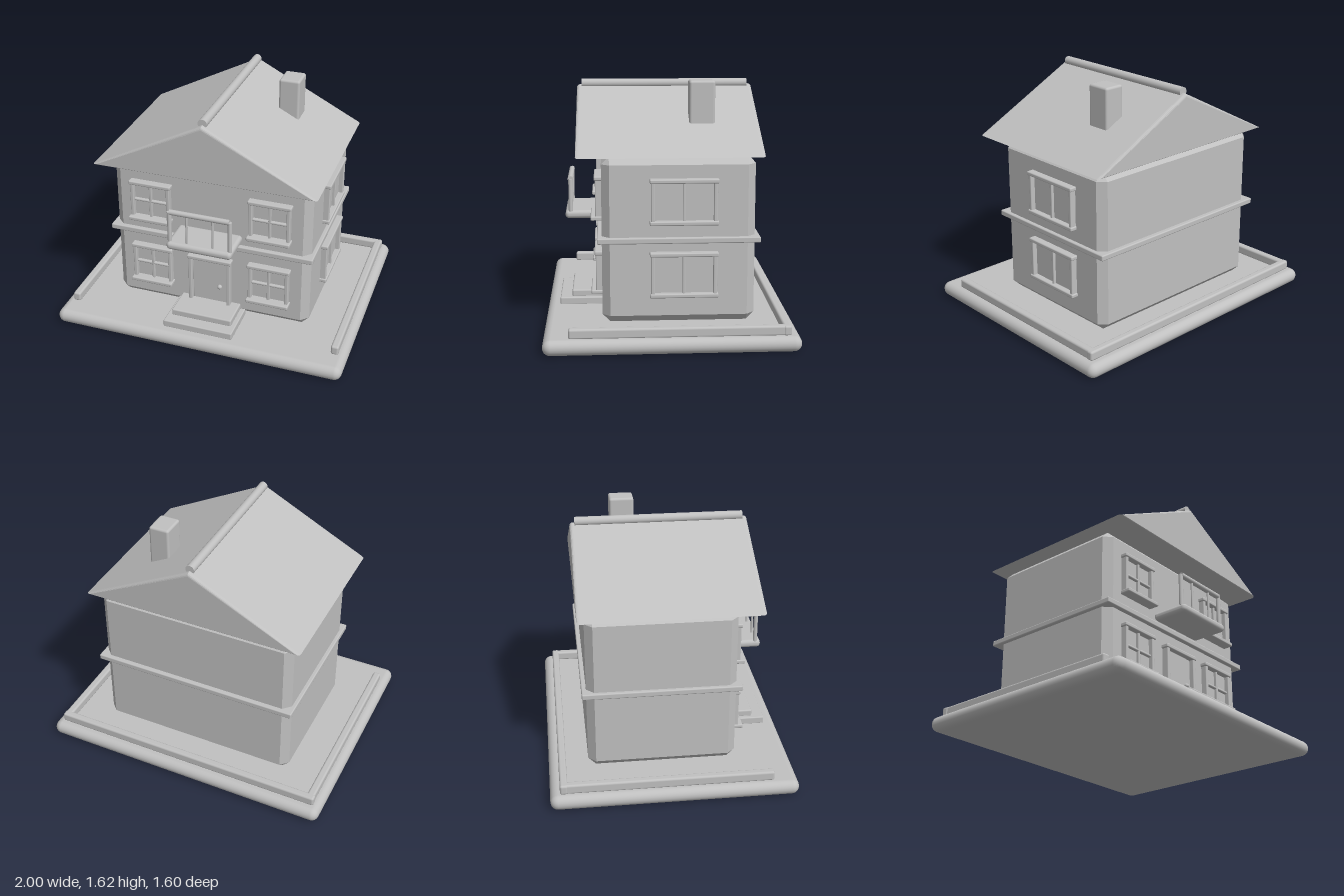
import * as THREE from 'three';
import { RoundedBoxGeometry } from 'three/addons/geometries/RoundedBoxGeometry.js';
import { ConvexGeometry } from 'three/addons/geometries/ConvexGeometry.js';

const plaster = new THREE.MeshStandardMaterial({ color: 0xc0c0c0 });
plaster.name = 'plain grey';

function add(parent, name, geometry, x = 0, y = 0, z = 0) {
  const mesh = new THREE.Mesh(geometry, plaster);
  mesh.name = name;
  mesh.position.set(x, y, z);
  parent.add(mesh);
  return mesh;
}

// Soft-edged block given by its limits on each axis
function block(parent, name, [x0, x1], [y0, y1], [z0, z1], radius = 0.006) {
  const geometry = new RoundedBoxGeometry(x1 - x0, y1 - y0, z1 - z0, 3, radius);
  return add(parent, name, geometry, (x0 + x1) / 2, (y0 + y1) / 2, (z0 + z1) / 2);
}

// Round bar standing along y, or lying along x or z
function bar(parent, name, radius, length, x, y, z, axis = 'y') {
  const mesh = add(parent, name, new THREE.CylinderGeometry(radius, radius, length, 20), x, y, z);
  if (axis === 'x') mesh.rotation.z = Math.PI / 2;
  if (axis === 'z') mesh.rotation.x = Math.PI / 2;
  return mesh;
}

// Box with every edge cut by one flat chamfer
function chamferedBox(hx, hy, hz, c) {
  const points = [];
  for (const sx of [-1, 1]) for (const sy of [-1, 1]) for (const sz of [-1, 1]) {
    points.push(
      new THREE.Vector3(sx * hx, sy * (hy - c), sz * (hz - c)),
      new THREE.Vector3(sx * (hx - c), sy * hy, sz * (hz - c)),
      new THREE.Vector3(sx * (hx - c), sy * (hy - c), sz * hz));
  }
  return new ConvexGeometry(points);
}

// Window standing on a wall: local z = 0 is the wall, y = 0 the underside of the sill
function makeWindow(name, width, height, crossBar) {
  const win = new THREE.Group();
  win.name = name;
  const w = width / 2;
  block(win, 'windowPane', [-w + 0.01, w - 0.01], [0.02, height - 0.02], [-0.01, 0.009], 0.002);
  for (const s of [-1, 1]) {
    const x = s * (w - 0.02);
    block(win, 'windowJamb', [x - 0.012, x + 0.012], [0.02, height - 0.015], [-0.01, 0.04]);
  }
  block(win, 'windowLintel', [-w, w], [height - 0.027, height], [-0.01, 0.047], 0.008);
  block(win, 'windowSill', [-w, w], [0, 0.027], [-0.01, crossBar ? 0.07 : 0.047], 0.008);
  block(win, 'windowMullion', [-0.009, 0.009], [0.02, height - 0.02], [0, 0.028], 0.004);
  if (crossBar) {
    block(win, 'windowCrossBar', [-w + 0.028, w - 0.028],
      [height / 2 - 0.009, height / 2 + 0.009], [0, 0.028], 0.008);
  }
  return win;
}

export function createModel() {
  const house = new THREE.Group();
  house.name = 'house';

  // Ground slab and low border on three sides
  block(house, 'groundSlab', [-1, 1], [0, 0.1], [-0.8, 0.8], 0.0499);
  for (const s of [-1, 1]) {
    block(house, 'sideBorder', [s * 0.92 - 0.026, s * 0.92 + 0.026], [0.095, 0.16], [-0.735, 0.64], 0.014);
  }
  block(house, 'backBorder', [-0.95, 0.95], [0.095, 0.16], [-0.737, -0.687], 0.014);

  // Walls and the band between the floors
  add(house, 'walls', chamferedBox(0.68, 0.535, 0.485, 0.05), 0, 0.64, -0.055);
  block(house, 'floorBand', [-0.705, 0.705], [0.628, 0.666], [-0.57, 0.46], 0.008);

  // Gabled roof with softened gable edges
  const gable = new THREE.Shape();
  gable.moveTo(-0.72, 1.185).lineTo(0.72, 1.185).lineTo(0, 1.542).closePath();
  add(house, 'roof', new THREE.ExtrudeGeometry(gable, {
    depth: 1.13, bevelEnabled: true, bevelSize: 0.02, bevelThickness: 0.022, bevelSegments: 4,
  }), 0, 0, -0.565);
  bar(house, 'roofRidge', 0.03, 1.11, 0, 1.57, 0, 'z');
  block(house, 'chimney', [0.28, 0.42], [1.27, 1.62], [-0.304, -0.138], 0.016);

  // Front and right-hand windows on both floors
  for (const y of [0.262, 0.748]) {
    for (const s of [-1, 1]) {
      const front = makeWindow('frontWindow', 0.293, 0.285, true);
      front.position.set(s * 0.411, y, 0.43);
      house.add(front);
    }
    const side = makeWindow('sideWindow', 0.433, 0.293, false);
    side.rotation.y = Math.PI / 2;
    side.position.set(0.68, y + (y < 0.5 ? 0.018 : 0), -0.087);
    house.add(side);
  }

  // Front door
  block(house, 'doorLeaf', [-0.122, 0.122], [0.15, 0.52], [0.42, 0.445], 0.004);
  for (const s of [-1, 1]) {
    block(house, 'doorJamb', [s * 0.135 - 0.012, s * 0.135 + 0.012], [0.15, 0.52], [0.42, 0.475]);
  }
  block(house, 'doorLintel', [-0.155, 0.155], [0.512, 0.54], [0.42, 0.48], 0.008);
  add(house, 'doorKnob', new THREE.SphereGeometry(0.016, 20, 14), 0.07, 0.315, 0.455);

  // Entrance steps
  block(house, 'lowerStep', [-0.241, 0.241], [0.095, 0.147], [0.41, 0.715], 0.008);
  block(house, 'upperStep', [-0.21, 0.21], [0.14, 0.19], [0.41, 0.635], 0.01);

  // Balcony with its front railing
  block(house, 'balconySlab', [-0.222, 0.222], [0.688, 0.742], [0.42, 0.672], 0.024);
  for (const x of [-0.205, -0.087, 0.09, 0.205]) {
    const outer = Math.abs(x) > 0.2;
    bar(house, 'railingPost', outer ? 0.014 : 0.008, 0.22, x, 0.845, 0.636);
  }
  bar(house, 'railingHandrail', 0.018, 0.405, 0, 0.955, 0.636, 'x');

  return house;
}
